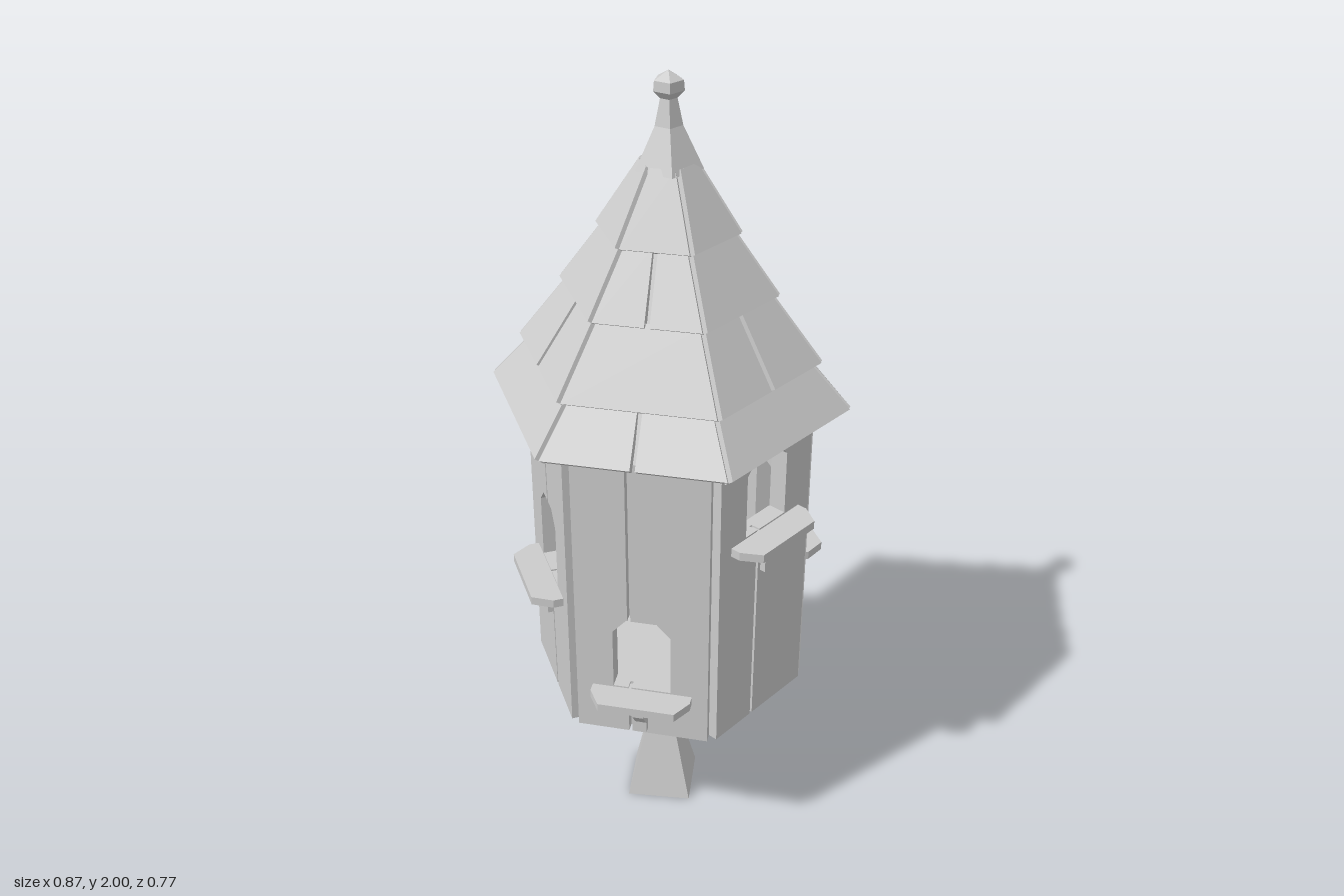
import * as THREE from 'three';

const material = new THREE.MeshStandardMaterial({ color: 0xcccccc, flatShading: true, side: THREE.DoubleSide });
const C30 = Math.cos(Math.PI / 6);
const WALL_BOTTOM = 0.405, WALL_TOP = 1.22, HALF = 0.165, HOLE_HALF = 0.072, HOLE_HEIGHT = 0.205;

function addMesh(parent, name, geometry) {
  const mesh = new THREE.Mesh(geometry, material);
  mesh.name = name;
  parent.add(mesh);
  return mesh;
}

const toShape = (points) => new THREE.Shape(points.map(([x, y]) => new THREE.Vector2(x, y)));
const extrude = (shape, depth) => new THREE.ExtrudeGeometry(shape, { depth, bevelEnabled: false });
const lathe = (points, sides, start) =>
  new THREE.LatheGeometry(points.map(([r, y]) => new THREE.Vector2(r, y)), sides, start);

// One half of a wall: a plank with half the doorway notched out along a sloping joint
function plank(side, hole, gapTop, gapBottom) {
  const joint = (y) =>
    THREE.MathUtils.mapLinear(y, WALL_BOTTOM, WALL_TOP, gapBottom, gapTop) + side * 0.004;
  const top = hole + HOLE_HEIGHT;
  const shape = toShape([
    [side * HALF, WALL_BOTTOM], [joint(WALL_BOTTOM), WALL_BOTTOM], [joint(hole), hole],
    [side * HOLE_HALF, hole], [side * HOLE_HALF, top - 0.038], [side * 0.038, top],
    [joint(top), top], [joint(WALL_TOP), WALL_TOP], [side * HALF, WALL_TOP],
  ]);
  return extrude(shape, 0.025).translate(0, 0, 0.285);
}

// Backing board behind the planks, with the whole doorway cut through
function liner(hole) {
  const top = hole + HOLE_HEIGHT, w = 0.155;
  const shape = toShape([[-w, WALL_BOTTOM], [w, WALL_BOTTOM], [w, WALL_TOP], [-w, WALL_TOP]]);
  shape.holes.push(toShape([
    [-HOLE_HALF, hole], [-HOLE_HALF, top - 0.038], [-0.038, top],
    [0.038, top], [HOLE_HALF, top - 0.038], [HOLE_HALF, hole],
  ]));
  return extrude(shape, 0.022).translate(0, 0, 0.264);
}

// Perch board with clipped front corners, and its bracket
function addPerch(parent, y) {
  const board = toShape([
    [-0.125, 0.29], [0.125, 0.29], [0.125, 0.335], [0.095, 0.383], [-0.095, 0.383], [-0.125, 0.335],
  ]);
  addMesh(parent, 'perch', extrude(board, 0.022).rotateX(Math.PI / 2).translate(0, y, 0));
  const bracket = toShape([
    [0.3, y - 0.02], [0.362, y - 0.02], [0.362, y - 0.045], [0.325, y - 0.09], [0.325, y - 0.12], [0.3, y - 0.12],
  ]);
  addMesh(parent, 'perchBracket', extrude(bracket, 0.028).rotateY(-Math.PI / 2).translate(0.014, 0, 0));
}

// Roof slate: a box bent onto the roof slope; u0..u1 is its share of the side (-1..1)
function slate(row, u0, u1) {
  const { r0, y0, r1, y1 } = row;
  const slope = new THREE.Vector2(y1 - y0, (r0 - r1) * C30).normalize();
  const geometry = new THREE.BoxGeometry(1, 1, 1);
  const p = geometry.attributes.position;
  for (let i = 0; i < p.count; i++) {
    const upper = p.getY(i) > 0, inset = p.getZ(i) > 0 ? 0 : 0.028;
    const r = upper ? r1 : r0;
    const u = p.getX(i) > 0 ? u1 : u0;
    const half = r / 2 - 0.007;
    const gap = Math.abs(u) < 1 ? Math.sign(u) * 0.006 : 0;
    p.setXYZ(i, Math.abs(u) < 1 ? gap : u * half,
      (upper ? y1 : y0) - inset * slope.y, r * C30 - inset * slope.x);
  }
  geometry.computeVertexNormals();
  return geometry;
}

export function createModel() {
  const model = new THREE.Group();
  model.name = 'birdhouse';

  // Flared square post, slightly twisted and off centre
  const s = Math.SQRT2;
  const post = addMesh(model, 'post', lathe([
    [0, 0], [0.083 * s, 0], [0.041 * s, 0.2], [0.035 * s, 0.4], [0.085 * s, 0.485],
  ], 4, Math.PI / 4));
  post.position.set(-0.01, 0, 0.033);
  post.rotation.y = 0.09;

  // Recessed floor
  addMesh(model, 'floor', new THREE.CylinderGeometry(0.31, 0.31, 0.025, 6)
    .rotateY(Math.PI / 6).translate(0, 0.495, 0));

  // Six walls with doorways at three heights, repeated on the opposite sides
  const walls = [
    { hole: 0.545, gapTop: -0.032, gapBottom: -0.03 },
    { hole: 0.97, gapTop: -0.025, gapBottom: -0.03 },
    { hole: 0.76, gapTop: -0.005, gapBottom: 0.02 },
  ];
  for (let k = 0; k < 6; k++) {
    const { hole, gapTop, gapBottom } = walls[k % 3];
    const wall = new THREE.Group();
    wall.name = 'wall';
    wall.rotation.y = k * Math.PI / 3;
    for (const side of [-1, 1]) addMesh(wall, 'plank', plank(side, hole, gapTop, gapBottom));
    addMesh(wall, 'wallLiner', liner(hole));
    addPerch(wall, hole - 0.004);
    model.add(wall);
  }

  // Roof core under the slates
  addMesh(model, 'roofCore', new THREE.CylinderGeometry(0.05, 0.395, 0.57, 6)
    .rotateY(Math.PI / 6).translate(0, 1.5, 0));

  // Four overlapping rows of slates; split joints alternate by row and side
  const rows = [
    { r0: 0.44, y0: 1.222, r1: 0.335, y1: 1.34 },
    { r0: 0.367, y0: 1.337, r1: 0.243, y1: 1.5 },
    { r0: 0.262, y0: 1.497, r1: 0.155, y1: 1.645 },
    { r0: 0.172, y0: 1.642, r1: 0.07, y1: 1.8 },
  ];
  for (let k = 0; k < 6; k++) {
    const roofSide = new THREE.Group();
    roofSide.name = 'roofSide';
    roofSide.rotation.y = k * Math.PI / 3;
    rows.forEach((row, i) => {
      const split = i < 3 && (i + k) % 2 === 0;
      const spans = split ? [[-1, -0.02], [0.02, 1]] : [[-1, 1]];
      for (const [u0, u1] of spans) addMesh(roofSide, 'slate', slate(row, u0, u1));
    });
    model.add(roofSide);
  }

  // Five-sided cap and finial
  addMesh(model, 'finial', lathe([
    [0, 1.785], [0.08, 1.785], [0.033, 1.88], [0.02, 1.94], [0.036, 1.957], [0.034, 1.98], [0, 2],
  ], 5, Math.PI / 2));

  return model;
}
